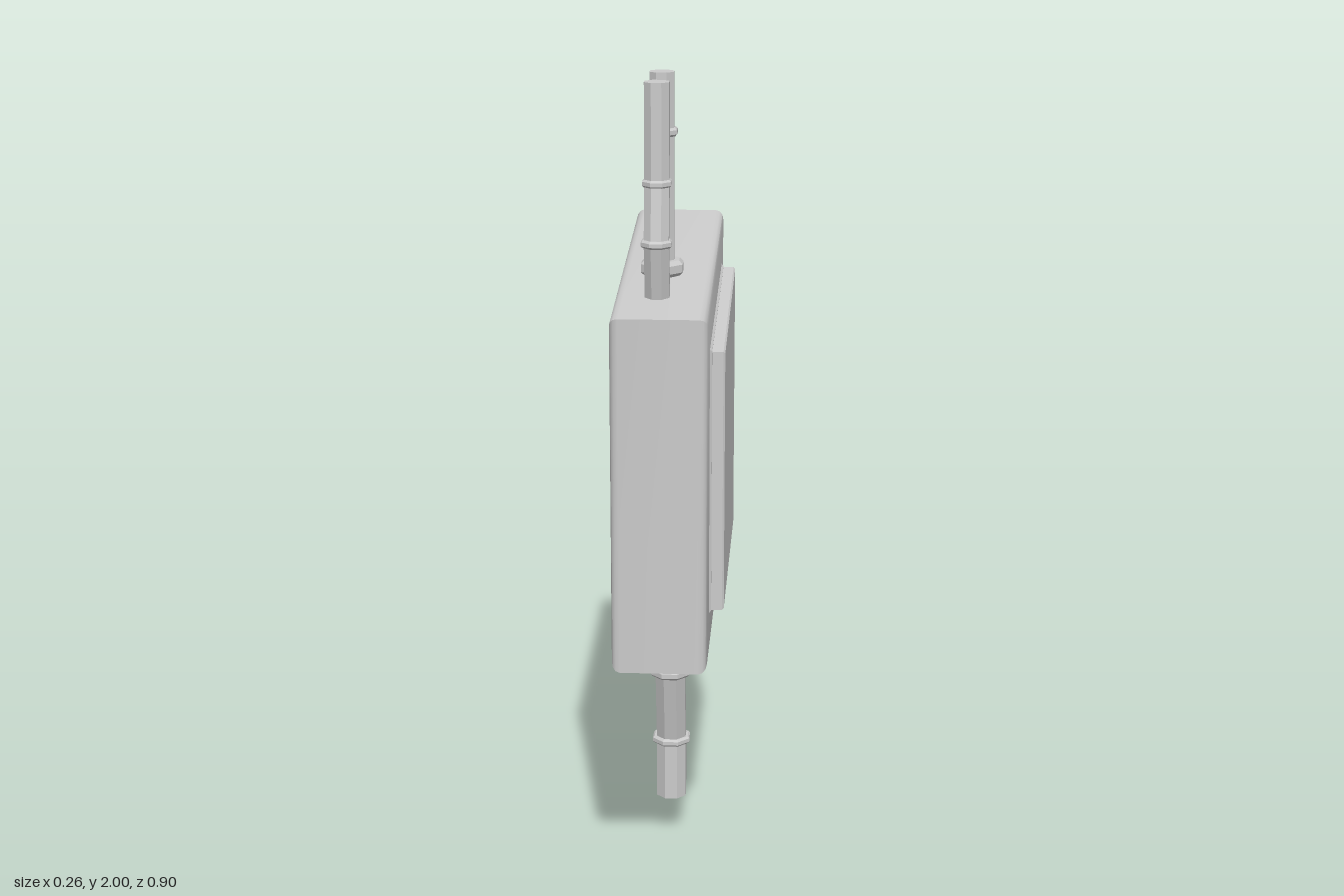
import * as THREE from 'three';
import { toCreasedNormals } from 'three/addons/utils/BufferGeometryUtils.js';

const smooth = new THREE.MeshStandardMaterial({ color: 0xcccccc });
const faceted = new THREE.MeshStandardMaterial({ color: 0xcccccc, flatShading: true });
const PIPE_X = -0.03;

function add(group, name, geometry, material) {
  const mesh = new THREE.Mesh(geometry, material);
  mesh.name = name;
  group.add(mesh);
  return mesh;
}

// Plate with a [z, y] outline, running from x0 to x1 with bevelled rims
function plate(outline, x0, x1, bevel, bevelSegments) {
  const shape = new THREE.Shape(outline.map(([z, y]) => new THREE.Vector2(-z, y)));
  const geometry = new THREE.ExtrudeGeometry(shape, {
    depth: x1 - x0 - 2 * bevel, bevelEnabled: true, bevelThickness: bevel,
    bevelSize: bevel, bevelOffset: -bevel, bevelSegments,
  });
  geometry.translate(0, 0, x0 + bevel).rotateY(Math.PI / 2);
  return toCreasedNormals(geometry, 0.7);
}

// Eight-sided pipe whose rows follow [z, y] points from top to bottom
function pipe(path, radius) {
  const rows = path.length - 1;
  const geometry = new THREE.CylinderGeometry(radius, radius, 1, 8, rows, false, Math.PI / 8);
  const pos = geometry.attributes.position;
  for (let i = 0; i < pos.count; i++) {
    const [z, y] = path[Math.round((0.5 - pos.getY(i)) * rows)];
    pos.setXYZ(i, pos.getX(i) + PIPE_X, y, pos.getZ(i) + z);
  }
  geometry.computeVertexNormals();
  return geometry;
}

// Eight-sided ring with chamfered rims
function ring(inner, outer, height) {
  const h = height / 2, c = height * 0.25;
  const profile = [[inner, -h], [outer - c, -h], [outer, -h + c], [outer, h - c], [outer - c, h], [inner, h]]
    .map(([r, y]) => new THREE.Vector2(r, y));
  return new THREE.LatheGeometry(profile, 8, Math.PI / 8);
}

export function createModel() {
  const model = new THREE.Group();
  model.name = 'pipedWallBox';

  // Box with a sloping top
  add(model, 'body', plate([[0.45, 0.635], [-0.45, 0.64], [-0.45, 1.57], [0.45, 1.49]],
    -0.13, 0.095, 0.02, 3), smooth);

  // Raised cover and the thin lip around its foot
  add(model, 'coverLip', plate([[0.338, 0.747], [-0.338, 0.749], [-0.338, 1.452], [0.338, 1.394]],
    0.085, 0.1, 0.005, 1), smooth);
  add(model, 'cover', plate([[0.33, 0.753], [-0.33, 0.756], [-0.33, 1.445], [0.33, 1.387]],
    0.085, 0.13, 0.004, 1), smooth);

  // Pipes; rings are [z, y, outer radius, height]
  const pipes = [
    {
      name: 'straightTopPipe', radius: 0.031, path: [[0.1, 2], [0.1, 1.51]],
      rings: [[0.1, 1.86, 0.039, 0.02], [0.1, 1.537, 0.054, 0.038]],
    },
    {
      name: 'bentTopPipe', radius: 0.031, path: [[0.28, 2], [0.28, 1.77], [0.305, 1.635], [0.275, 1.49]],
      rings: [[0.28, 1.77, 0.036, 0.018], [0.305, 1.635, 0.038, 0.018]],
    },
    {
      name: 'bottomPipe', radius: 0.042, path: [[-0.262, 0.645], [-0.205, 0.38], [-0.255, 0.165], [-0.255, 0]],
      rings: [[-0.255, 0.626, 0.056, 0.022], [-0.205, 0.38, 0.055, 0.024], [-0.255, 0.165, 0.053, 0.02]],
    },
  ];
  for (const { name, radius, path, rings } of pipes) {
    const group = new THREE.Group();
    group.name = name;
    add(group, name + 'Tube', pipe(path, radius), faceted);
    for (const [z, y, outer, height] of rings) {
      add(group, name + 'Ring', ring(radius * 0.9, outer, height), faceted).position.set(PIPE_X, y, z);
    }
    model.add(group);
  }
  return model;
}
